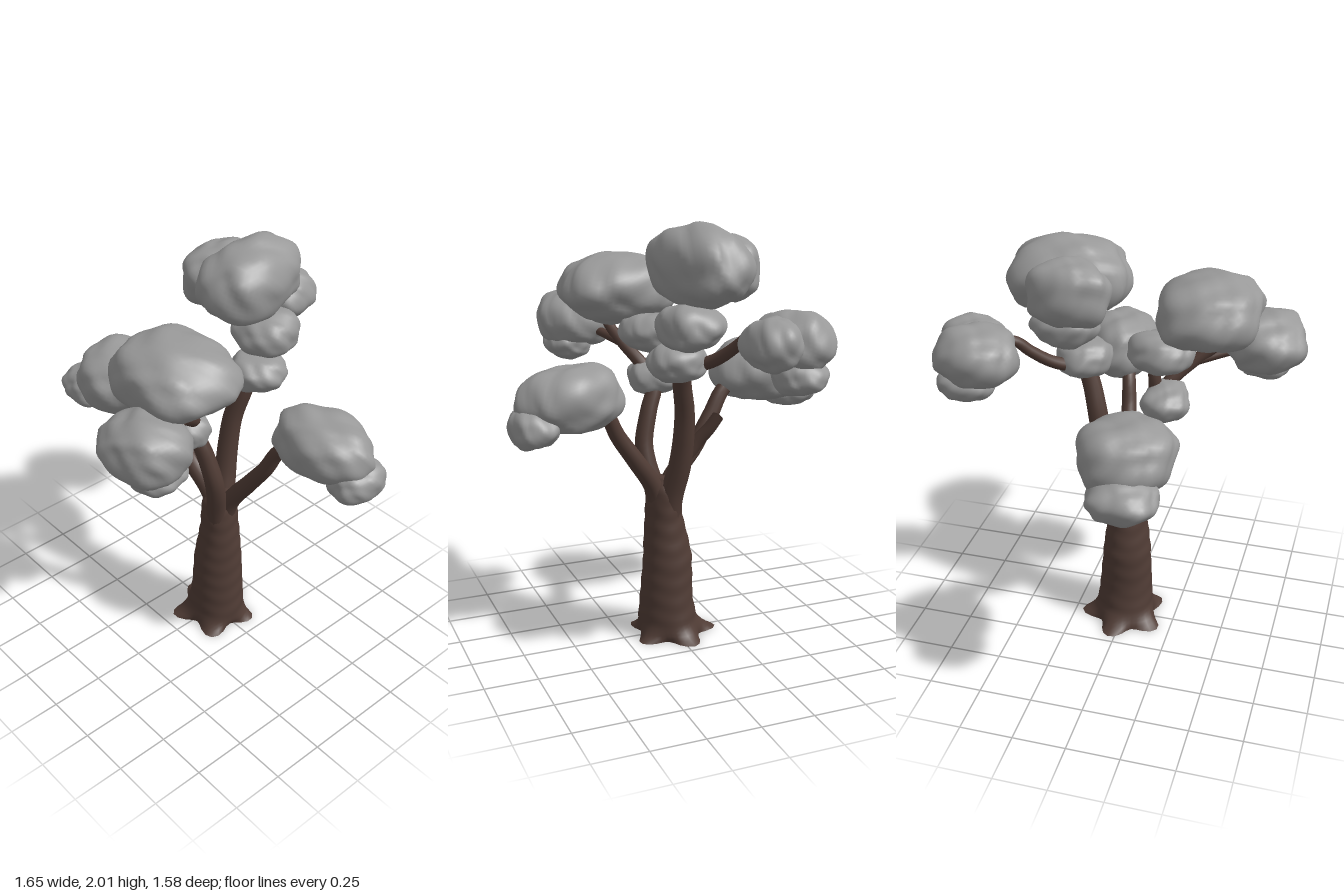
import * as THREE from 'three';
import { mergeVertices } from 'three/addons/utils/BufferGeometryUtils.js';

const bark = new THREE.MeshStandardMaterial({ color: 0x503c35 });
bark.name = 'bark';
const leaves = new THREE.MeshStandardMaterial({ color: 0x999999 });
leaves.name = 'leaves';

const V = (a) => new THREE.Vector3(...a);

// Lumpy smooth ellipsoid of foliage, turned about y by yaw
function clump(name, center, radii, yaw, seed) {
  const raw = new THREE.IcosahedronGeometry(1, 9);
  raw.deleteAttribute('uv');
  raw.deleteAttribute('normal');
  const geo = mergeVertices(raw, 1e-4);
  const p = geo.attributes.position;
  const v = new THREE.Vector3();
  for (let i = 0; i < p.count; i++) {
    v.fromBufferAttribute(p, i);
    // slightly boxy base shape with rounded bumps of two sizes
    const box = Math.pow(v.x ** 4 + v.y ** 4 + v.z ** 4, -0.05);
    const bump = 0.05 * Math.sin(4.1 * v.x + seed * 1.7) * Math.sin(3.7 * v.z + seed * 2.3)
      + 0.03 * Math.sin(4.6 * v.y + 2.9 * v.x + seed * 3.1)
      + 0.035 * Math.sin(7.3 * v.z - 5.1 * v.y + seed) * Math.sin(6.7 * v.x + seed * 0.7)
      + 0.015 * Math.sin(11 * v.x + 6 * v.z + seed) * Math.sin(10 * v.z - 7 * v.y + seed * 1.3);
    v.multiplyScalar(0.985 * box * (1 + bump));
    p.setXYZ(i, v.x * radii[0], v.y * radii[1], v.z * radii[2]);
  }
  geo.computeVertexNormals();
  const mesh = new THREE.Mesh(geo, leaves);
  mesh.name = name;
  mesh.position.set(...center);
  mesh.rotation.y = yaw;
  return mesh;
}

// Tapering tube along a curve, closed at its tip
function branch(name, points, r0, r1) {
  const curve = new THREE.CatmullRomCurve3(points.map(V));
  const n = 28, sides = 12;
  const geo = new THREE.TubeGeometry(curve, n, 1, sides);
  const p = geo.attributes.position;
  const v = new THREE.Vector3();
  for (let i = 0; i <= n; i++) {
    const c = curve.getPointAt(i / n);
    const r = i === n ? 0.001 : THREE.MathUtils.lerp(r0, r1, i / n);
    for (let j = 0; j <= sides; j++) {
      const k = i * (sides + 1) + j;
      v.fromBufferAttribute(p, k).sub(c).multiplyScalar(r).add(c);
      p.setXYZ(k, v.x, v.y, v.z);
    }
  }
  const mesh = new THREE.Mesh(geo, bark);
  mesh.name = name;
  return mesh;
}

// Linear lookup in rows of [y, centreX, radiusX, radiusZ]
function sample(rows, y) {
  let i = 0;
  while (i < rows.length - 2 && y > rows[i + 1][0]) i++;
  const t = THREE.MathUtils.clamp((y - rows[i][0]) / (rows[i + 1][0] - rows[i][0]), 0, 1);
  return rows[i].map((a, k) => THREE.MathUtils.lerp(a, rows[i + 1][k], t));
}

// Trunk with five root toes at the foot and a rounded crotch at the top
function trunk() {
  const rows = [
    [0, 0, 0.17, 0.165], [0.03, 0.01, 0.158, 0.152], [0.08, 0.022, 0.143, 0.138],
    [0.2, 0.03, 0.127, 0.128], [0.4, 0.027, 0.118, 0.116], [0.5, 0.035, 0.106, 0.103],
    [0.6, 0.042, 0.09, 0.093], [0.7, 0.042, 0.083, 0.09], [0.76, 0.042, 0.07, 0.08],
    [0.8, 0.045, 0.035, 0.04],
  ];
  const raw = new THREE.CylinderGeometry(1, 1, 0.8, 40, 48);
  raw.deleteAttribute('uv');
  const geo = mergeVertices(raw);
  const p = geo.attributes.position;
  for (let i = 0; i < p.count; i++) {
    const x = p.getX(i), z = p.getZ(i);
    const y = p.getY(i) + 0.4;
    const a = Math.atan2(z, x);
    const [, cx, rx, rz] = sample(rows, y);
    const toe = 0.038 * Math.exp(-y / 0.025) * (0.3 + Math.cos(5 * (a - Math.PI / 4)));
    const rough = 0.003 * Math.sin(3 * a + 9 * y) + 0.0015 * Math.sin(70 * y + Math.sin(3 * a));
    p.setXYZ(i, cx + x * (rx + toe + rough), y, z * (rz + toe + rough));
  }
  geo.computeVertexNormals();
  const mesh = new THREE.Mesh(geo, bark);
  mesh.name = 'trunk';
  return mesh;
}

export function createModel() {
  const tree = new THREE.Group();
  tree.name = 'tree';
  tree.add(trunk());

  // Main limbs and thinner boughs
  const limbs = new THREE.Group();
  limbs.name = 'branches';
  limbs.add(
    branch('rightBranch', [[0.04, 0.6, 0], [0, 0.77, 0.015], [-0.13, 0.92, 0.04], [-0.22, 1.06, 0.055], [-0.3, 1.18, 0.08], [-0.42, 1.24, 0.1]], 0.052, 0.032),
    branch('rightStub', [[-0.07, 0.86, 0.025], [-0.13, 0.95, 0.005], [-0.18, 1.02, -0.025], [-0.22, 1.09, -0.05]], 0.036, 0.028),
    branch('leftBranch', [[0.05, 0.58, 0], [0.1, 0.76, -0.015], [0.2, 0.91, -0.045], [0.29, 1.04, -0.06], [0.36, 1.17, -0.08], [0.48, 1.24, -0.12]], 0.05, 0.03),
    branch('backBranch', [[0.04, 0.5, -0.01], [0.02, 0.72, -0.045], [-0.005, 0.86, -0.08], [-0.015, 1, -0.105], [-0.01, 1.15, -0.13], [0.02, 1.3, -0.17], [0.03, 1.42, -0.22], [0.01, 1.58, -0.27], [-0.03, 1.75, -0.27]], 0.062, 0.032),
    branch('frontBranch', [[0.05, 0.5, 0.01], [0.07, 0.72, 0.045], [0.1, 0.86, 0.075], [0.105, 0.95, 0.095], [0.07, 1.1, 0.12], [0.03, 1.22, 0.15], [0.06, 1.3, 0.19]], 0.055, 0.035),
    branch('frontBough', [[0.03, 1.21, 0.14], [0.08, 1.31, 0.19], [0.14, 1.4, 0.29], [0.18, 1.49, 0.4], [0.2, 1.6, 0.44]], 0.036, 0.02),
    branch('outerBough', [[0.14, 1.4, 0.29], [0.2, 1.43, 0.42], [0.26, 1.46, 0.56]], 0.024, 0.018),
    branch('innerBough', [[0.05, 1.2, 0.14], [0.03, 1.35, 0.13], [0.06, 1.47, 0.12]], 0.036, 0.025),
    branch('backBough', [[0.02, 1.36, -0.2], [-0.08, 1.42, -0.32], [-0.14, 1.49, -0.4], [-0.18, 1.55, -0.46], [-0.27, 1.56, -0.56]], 0.032, 0.022),
  );
  tree.add(limbs);

  // Foliage: name, centre, radii, yaw
  const clumps = [
    ['crownMain', [-0.03, 1.82, -0.245], [0.185, 0.18, 0.285], 0.2],
    ['crownSide', [-0.17, 1.805, -0.2], [0.145, 0.155, 0.19], 0],
    ['backClump', [-0.33, 1.53, -0.58], [0.17, 0.135, 0.19], 0],
    ['backClumpSide', [-0.19, 1.54, -0.64], [0.125, 0.115, 0.15], 0],
    ['backClumpLow', [-0.32, 1.395, -0.64], [0.12, 0.08, 0.13], 0],
    ['leftClump', [0.54, 1.265, -0.16], [0.245, 0.15, 0.17], 0.1],
    ['leftClumpLow', [0.72, 1.16, -0.19], [0.11, 0.092, 0.14], 0],
    ['rightClump', [-0.5, 1.25, 0.14], [0.23, 0.155, 0.215], 0],
    ['rightClumpLow', [-0.685, 1.14, 0.17], [0.145, 0.095, 0.16], 0],
    ['frontClump', [0.15, 1.655, 0.355], [0.28, 0.165, 0.245], 0],
    ['outerClump', [0.27, 1.475, 0.6], [0.2, 0.14, 0.185], 0],
    ['outerClumpLow', [0.32, 1.36, 0.59], [0.115, 0.08, 0.125], 0],
    ['lowInnerClump', [0.01, 1.245, 0.19], [0.14, 0.085, 0.11], 0],
    ['midInnerClump', [0.05, 1.47, 0.155], [0.14, 0.09, 0.155], 0],
    ['underCrownClump', [0.03, 1.565, -0.29], [0.15, 0.105, 0.155], 0],
    ['lowBackClump', [0.06, 1.4, -0.21], [0.135, 0.09, 0.13], 0],
  ];
  const foliage = new THREE.Group();
  foliage.name = 'foliage';
  clumps.forEach(([name, c, r, yaw], i) => foliage.add(clump(name, c, r, yaw, i + 1)));
  tree.add(foliage);
  return tree;
}
